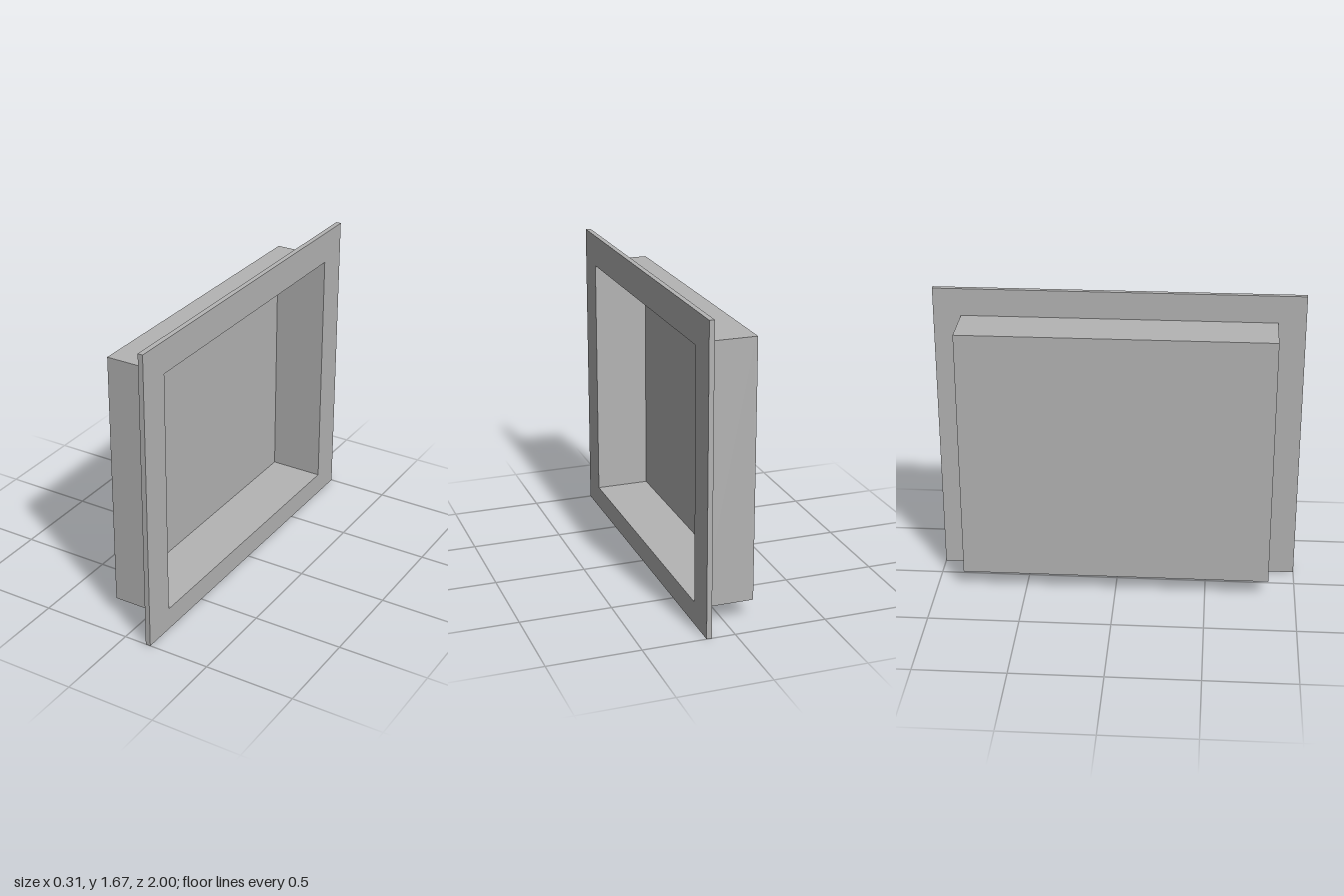
import * as THREE from 'three';

const grey = new THREE.MeshStandardMaterial({ color: 0xb4b4b4 });
grey.name = 'light grey';

// Rectangle in the (z, y) plane
function rect(path, halfWidth, bottom, top) {
  path.moveTo(-halfWidth, bottom);
  path.lineTo(halfWidth, bottom);
  path.lineTo(halfWidth, top);
  path.lineTo(-halfWidth, top);
  path.closePath();
  return path;
}

// Rectangular ring extruded along x from x0 to x1
function ring(name, outer, inner, x0, x1) {
  const shape = rect(new THREE.Shape(), ...outer);
  shape.holes.push(rect(new THREE.Path(), ...inner));
  const geo = new THREE.ExtrudeGeometry(shape, { depth: x1 - x0, bevelEnabled: false });
  geo.rotateY(Math.PI / 2);
  geo.translate(x0, 0, 0);
  const mesh = new THREE.Mesh(geo, grey);
  mesh.name = name;
  return mesh;
}

export function createModel() {
  const group = new THREE.Group();
  group.name = 'recessedNiche';

  const opening = [0.82, 0.125, 1.5];
  const box = [0.85, 0.1, 1.523];
  const backX = -0.158, innerX = -0.145, flangeX = 0.128, frontX = 0.156;

  // Flat flange around the opening
  group.add(ring('flange', [1, 0, 1.675], opening, flangeX, frontX));

  // Four side walls of the recess
  group.add(ring('sideWalls', box, opening, innerX, flangeX));

  // Closed back of the recess
  const [half, bottom, top] = box;
  const back = new THREE.Mesh(new THREE.BoxGeometry(innerX - backX, top - bottom, half * 2), grey);
  back.position.set((backX + innerX) / 2, (bottom + top) / 2, 0);
  back.name = 'backPanel';
  group.add(back);

  return group;
}
